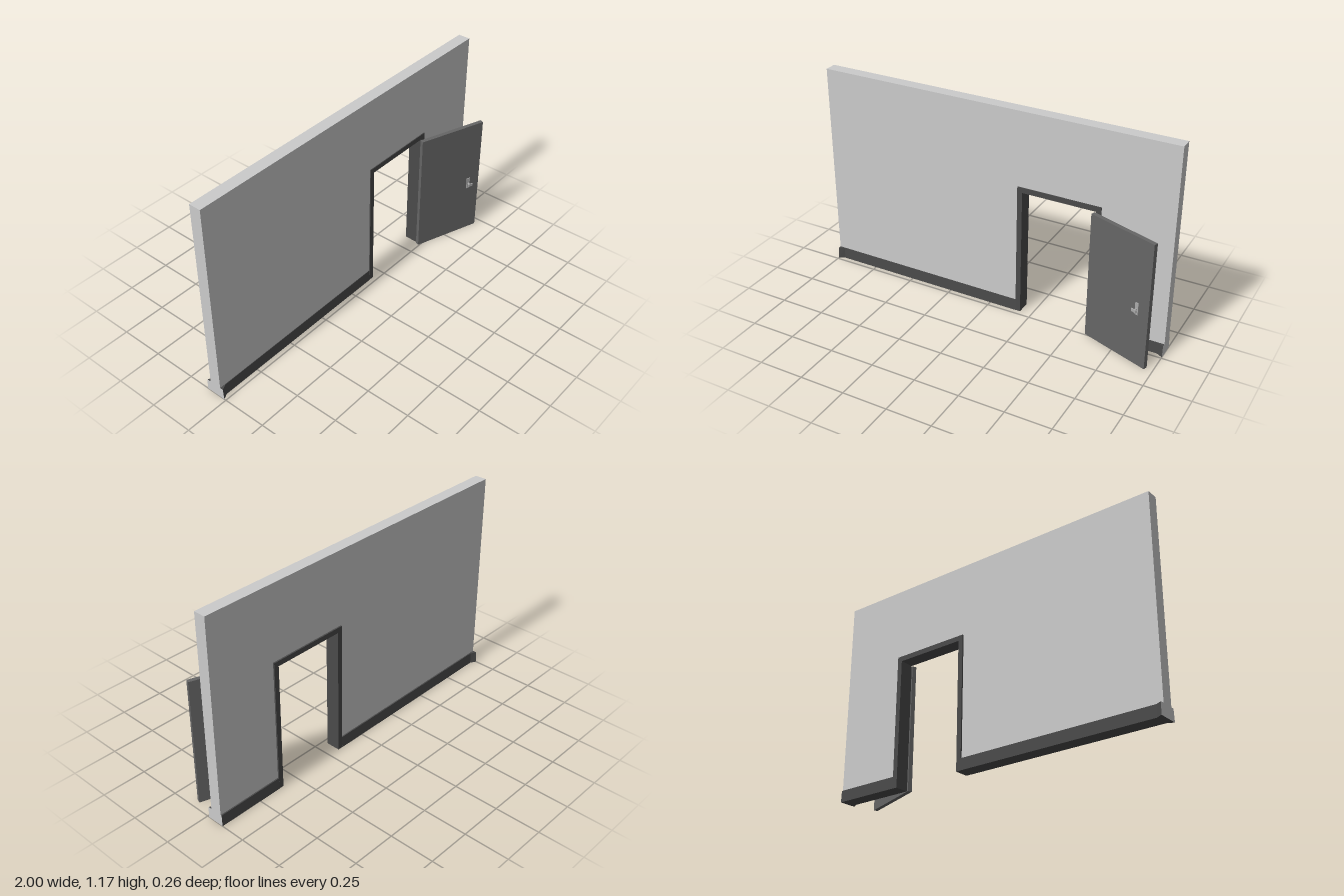
import * as THREE from 'three';

const paint = (color) => new THREE.MeshStandardMaterial({ color, side: THREE.DoubleSide, flatShading: true });

export function createModel() {
  const group = new THREE.Group();
  const wallMat = paint(0xcccccc), trimMat = paint(0x4a4a4a), doorMat = paint(0x666666), metalMat = paint(0xaaaaaa);

  const add = (parent, name, geo, mat, x = 0, y = 0, z = 0) => {
    const m = new THREE.Mesh(geo, mat);
    m.name = name;
    m.position.set(x, y, z);
    parent.add(m);
    return m;
  };
  const extrude = (pts, depth) => new THREE.ExtrudeGeometry(
    new THREE.Shape(pts.map(([x, y]) => new THREE.Vector2(x, y))), { depth, bevelEnabled: false });

  // Outer and inner edges of the door frame
  const L = 0.155, R = 0.618, T = 0.753, l = 0.183, r = 0.59, t = 0.724;
  const H = 1.17, baseH = 0.065;

  // Wall around the doorway, standing on the baseboards
  add(group, 'wall', extrude([[-1, baseH], [L, baseH], [L, T], [R, T], [R, baseH], [1, baseH], [1, H], [-1, H]], 0.067),
    wallMat, 0, 0, -0.1);

  // Frame lining the doorway
  add(group, 'doorFrame', extrude([[L, 0], [l, 0], [l, t], [r, t], [r, 0], [R, 0], [R, T], [L, T]], 0.08),
    trimMat, 0, 0, -0.108);

  // Baseboards: cross-sections [x, front flare, back flare] joined along x
  const ring = ([x, front, back]) => [
    [x, 0, -0.027 + front], [x, baseH, -0.03 + front * 0.9],
    [x, baseH, -0.107 - back * 0.9], [x, 0, -0.109 - back]];
  const quads = (list) => {
    const pos = [];
    for (const [a, b, c, d] of list) pos.push(...a, ...b, ...c, ...a, ...c, ...d);
    const g = new THREE.BufferGeometry();
    g.setAttribute('position', new THREE.Float32BufferAttribute(pos, 3));
    g.computeVertexNormals();
    return g;
  };
  const baseboard = (name, sections) => {
    const rings = sections.map(ring), faces = [];
    for (let i = 0; i + 1 < rings.length; i++)
      for (let k = 0; k < 4; k++) {
        const n = (k + 1) % 4;
        faces.push([rings[i][k], rings[i + 1][k], rings[i + 1][n], rings[i][n]]);
      }
    add(group, name, quads(faces), trimMat);
  };
  baseboard('rightBaseboard', [[-1, 0.017, 0.018], [-0.967, 0, 0], [L, 0, 0]]);
  baseboard('leftBaseboard', [[R, 0, 0], [0.967, 0, 0], [1, 0.019, 0]]);

  // Wall-coloured ends of the baseboards
  add(group, 'rightBaseboardEnd', quads([ring([-1, 0.017, 0.018])]), wallMat);
  add(group, 'leftBaseboardEnd', quads([ring([1, 0.019, 0]).reverse()]), wallMat);

  // Door swung open on its hinge edge
  const door = new THREE.Group();
  door.name = 'door';
  door.position.set(0.583, 0, -0.028);
  door.rotation.y = -THREE.MathUtils.degToRad(19.4);
  group.add(door);
  const len = 0.403, thick = 0.023, doorH = 0.72, hx = 0.33, hy = 0.327;
  add(door, 'doorPanel', new THREE.BoxGeometry(len, doorH, thick), doorMat, len / 2, doorH / 2, thick / 2);

  // Plate, stem and grip on each face
  for (const s of [-1, 1]) {
    const face = thick / 2 + s * thick / 2;
    add(door, 'handlePlate', new THREE.BoxGeometry(0.02, 0.068, 0.005), metalMat, hx, hy, face + s * 0.002);
    const stem = add(door, 'handleStem', new THREE.CylinderGeometry(0.005, 0.005, 0.024, 8), metalMat, hx, hy, face + s * 0.012);
    stem.rotation.x = Math.PI / 2;
    add(door, 'handleGrip', new THREE.BoxGeometry(0.03, 0.016, 0.006), metalMat, hx, hy, face + s * 0.025);
  }
  return group;
}
